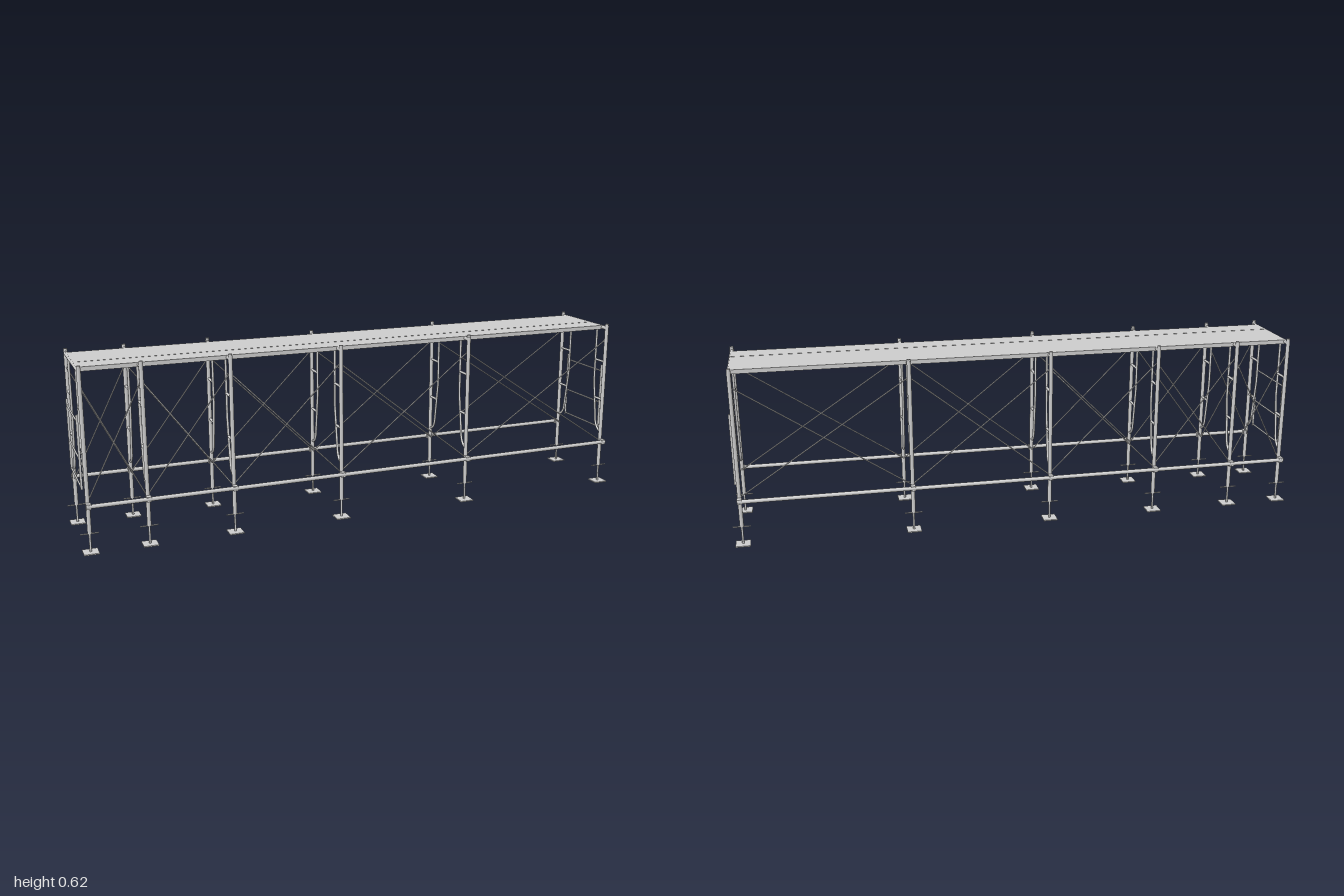
import * as THREE from 'three';

const material = new THREE.MeshStandardMaterial({ color: 0xcccccc });
const V = (x, y, z) => new THREE.Vector3(x, y, z);
const frameX = [-0.97, -0.777, -0.486, -0.099, 0.388, 0.97];
const postZ = 0.147;

function add(parent, name, geometry, x = 0, y = 0, z = 0) {
  const mesh = new THREE.Mesh(geometry, material);
  mesh.name = name;
  mesh.position.set(x, y, z);
  parent.add(mesh);
  return mesh;
}

// Straight round bar between two points
function bar(parent, name, a, b, radius, sides = 12) {
  const dir = b.clone().sub(a);
  const mesh = add(parent, name, new THREE.CylinderGeometry(radius, radius, dir.length(), sides));
  mesh.position.copy(a).add(b).multiplyScalar(0.5);
  mesh.quaternion.setFromUnitVectors(V(0, 1, 0), dir.normalize());
  return mesh;
}

// Bent inner leg: straight down, slanting outwards, then curving into the post
function innerLegPath(s) {
  const path = new THREE.CurvePath();
  path.add(new THREE.LineCurve3(V(0, 0.598, s * 0.087), V(0, 0.4, s * 0.087)));
  path.add(new THREE.QuadraticBezierCurve3(
    V(0, 0.4, s * 0.087), V(0, 0.39, s * 0.087), V(0, 0.38, s * 0.0885)));
  path.add(new THREE.LineCurve3(V(0, 0.38, s * 0.0885), V(0, 0.24, s * 0.109)));
  path.add(new THREE.CubicBezierCurve3(
    V(0, 0.24, s * 0.109), V(0, 0.218, s * 0.112), V(0, 0.202, s * 0.126), V(0, 0.201, s * 0.145)));
  return path;
}

// Post, screw jack, inner leg and fittings on one side of a frame
function makeFrameSide(s) {
  const side = new THREE.Group();
  side.name = s > 0 ? 'frontFrameSide' : 'backFrameSide';
  const z = s * postZ;
  bar(side, 'post', V(0, 0.065, z), V(0, 0.61, z), 0.007, 16);
  bar(side, 'postCap', V(0, 0.609, z), V(0, 0.617, z), 0.0065, 16);
  bar(side, 'jackScrew', V(0, 0.002, z), V(0, 0.068, z), 0.0037);
  bar(side, 'jackHandle', V(-0.03, 0.065, z), V(0.03, 0.065, z), 0.0025, 8);
  add(side, 'basePlate', new THREE.BoxGeometry(0.05, 0.004, 0.05), 0, 0.002, z);
  add(side, 'innerLeg', new THREE.TubeGeometry(innerLegPath(s), 48, 0.0043, 10));
  bar(side, 'upperStub', V(0, 0.472, z), V(0, 0.472, s * 0.087), 0.0043);
  bar(side, 'lowerStub', V(0, 0.325, z), V(0, 0.325, s * 0.097), 0.0043);
  for (const y of [0.165, 0.552])
    bar(side, 'bracePin', V(0, y, z), V(0, y, s * 0.132), 0.0025, 8);
  add(side, 'railCoupler', new THREE.BoxGeometry(0.016, 0.017, 0.02), 0, 0.163, s * 0.162);
  return side;
}

export function createModel() {
  const model = new THREE.Group();
  model.name = 'scaffold';

  // Portal frames at widening spacing
  for (const x of frameX) {
    const frame = new THREE.Group();
    frame.name = 'portalFrame';
    frame.position.x = x;
    frame.add(makeFrameSide(1), makeFrameSide(-1));
    bar(frame, 'topBeam', V(0, 0.601, -postZ), V(0, 0.601, postZ), 0.007, 16);
    model.add(frame);
  }

  for (const s of [1, -1]) {
    // Long lower rails outside the posts
    bar(model, s > 0 ? 'frontRail' : 'backRail',
      V(-0.978, 0.163, s * 0.1665), V(0.978, 0.163, s * 0.1665), 0.007, 16);

    // Crossed braces in every bay
    for (let i = 0; i < frameX.length - 1; i++) {
      const a = frameX[i], b = frameX[i + 1];
      bar(model, 'crossBrace', V(a, 0.165, s * 0.1365), V(b, 0.552, s * 0.1365), 0.0023, 8);
      bar(model, 'crossBrace', V(a, 0.552, s * 0.1335), V(b, 0.165, s * 0.1335), 0.0023, 8);
    }
  }

  // Deck in two panels with a narrow gap
  for (const [z0, z1] of [[-0.126, 0.0405], [0.0435, 0.121]])
    add(model, 'deckPanel', new THREE.BoxGeometry(1.945, 0.0145, z1 - z0), 0, 0.6007, (z0 + z1) / 2);

  // Ladder-like guards at both ends
  for (const e of [1, -1]) {
    const guard = new THREE.Group();
    guard.name = e > 0 ? 'leftEndGuard' : 'rightEndGuard';
    guard.position.x = e * 0.981;
    for (const y of [0.21, 0.307, 0.43])
      bar(guard, 'guardRung', V(0, y, -0.113), V(0, y, 0.113), 0.003, 10);
    for (const s of [1, -1])
      add(guard, 'guardUpright', new THREE.BoxGeometry(0.008, 0.25, 0.002), 0, 0.329, s * 0.113);
    model.add(guard);
  }
  return model;
}
